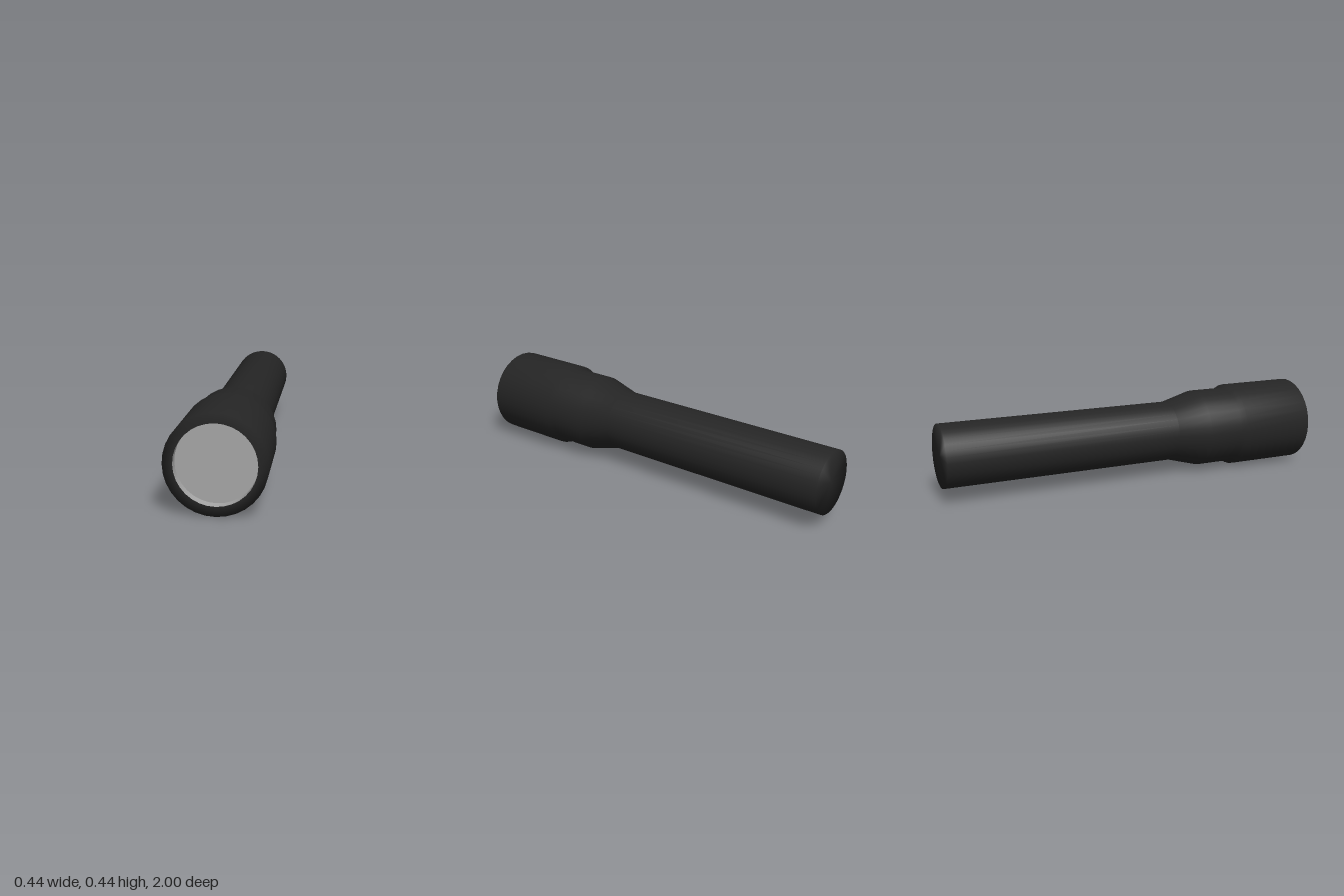
import * as THREE from 'three';

const SIDES = 32;
const AXIS_Y = 0.222;

// Turned part along the z axis from [radius, z] pairs
function turned(name, profile, material) {
  const points = profile.map(([r, z]) => new THREE.Vector2(r, z));
  const geometry = new THREE.LatheGeometry(points, SIDES);
  geometry.rotateX(Math.PI / 2);
  const mesh = new THREE.Mesh(geometry, material);
  mesh.name = name;
  mesh.position.y = AXIS_Y;
  return mesh;
}

export function createModel() {
  const black = new THREE.MeshStandardMaterial({ color: 0x252525 });
  black.name = 'black casing';
  const grey = new THREE.MeshStandardMaterial({ color: 0xa8a8a8 });
  grey.name = 'grey lens';

  const group = new THREE.Group();
  group.name = 'flashlight';

  // Closed tail, handle, flared neck, head and front rim in one smooth shell
  group.add(turned('casing', [
    [0, -1], [0.157, -1], [0.157, 0.22], [0.203, 0.39], [0.203, 0.575],
    [0.221, 0.6], [0.222, 1], [0.178, 1],
  ], black));

  // Light wall between the rim and the recessed lens
  group.add(turned('reflectorWall', [[0.178, 1], [0.178, 0.955]], grey));

  // Flat lens, set back inside the head
  const lens = new THREE.Mesh(new THREE.CircleGeometry(0.178, SIDES), grey);
  lens.name = 'lens';
  lens.position.set(0, AXIS_Y, 0.955);
  group.add(lens);

  return group;
}
